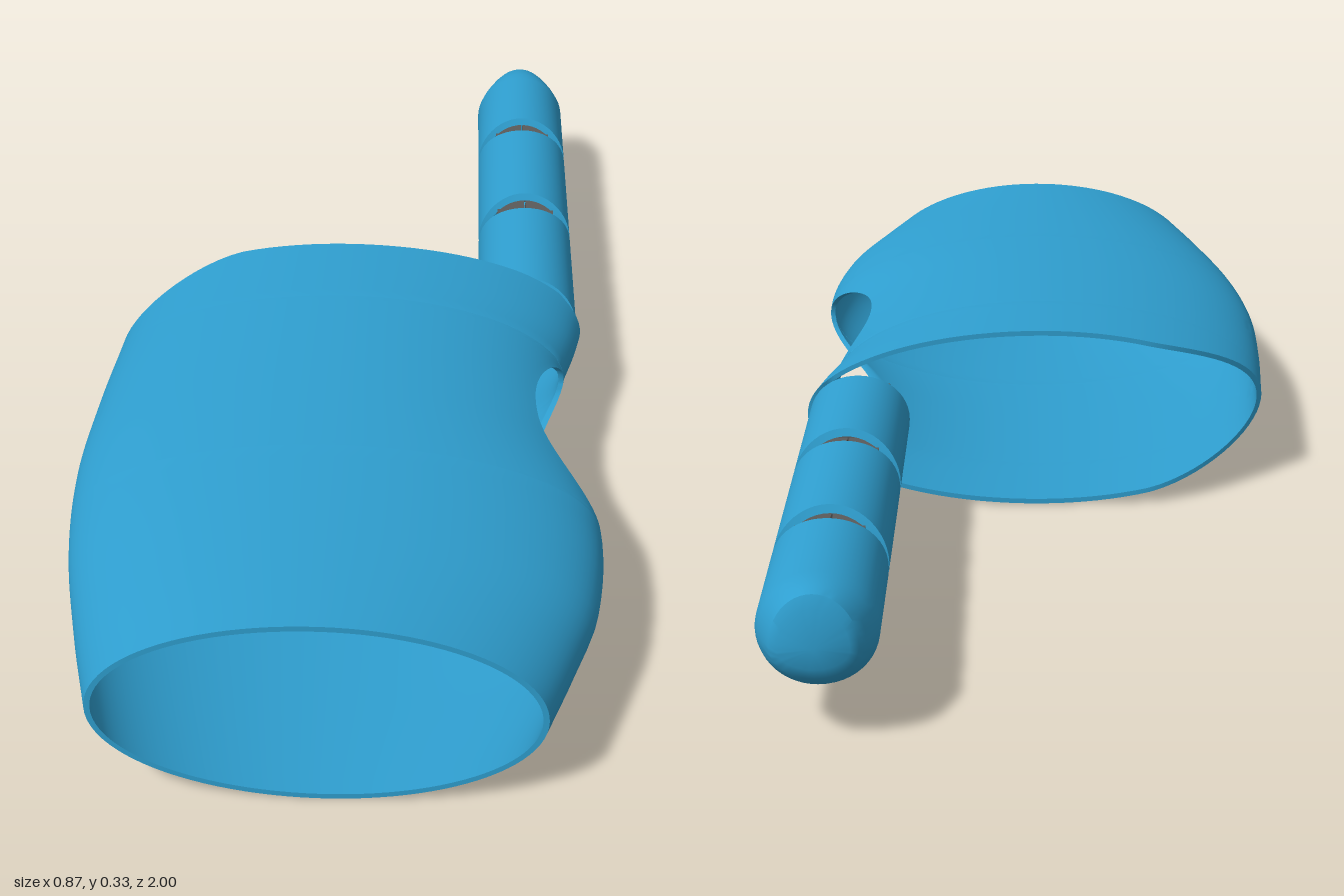
import * as THREE from 'three';
import { toCreasedNormals, mergeGeometries } from 'three/addons/utils/BufferGeometryUtils.js';

const CY = 0.1665, WALL = 0.009;
const BACK = -0.07, HOLE0 = 0.11, HOLE1 = 0.56, FRONT = 1;
const FINGER_X = 0.325, FINGER_R = 0.09;

// Surface from fn(u, v) -> [x, y, z]; faces point along du x dv unless flipped
function grid(nu, nv, fn, flip = false) {
  const pos = [], idx = [];
  for (let j = 0; j <= nv; j++)
    for (let i = 0; i <= nu; i++) pos.push(...fn(i / nu, j / nv));
  for (let j = 0; j < nv; j++)
    for (let i = 0; i < nu; i++) {
      const a = j * (nu + 1) + i, b = a + 1, d = a + nu + 1, c = d + 1;
      idx.push(...(flip ? [a, c, b, a, d, c] : [a, b, c, a, c, d]));
    }
  const g = new THREE.BufferGeometry();
  g.setAttribute('position', new THREE.Float32BufferAttribute(pos, 3));
  g.setIndex(idx);
  return g;
}

function mesh(name, geometry, material) {
  const m = new THREE.Mesh(geometry, material);
  m.name = name;
  return m;
}

// Smooth curve through [z, value] points
function smooth(pts) {
  const slope = i => {
    const a = pts[Math.max(i - 1, 0)], b = pts[Math.min(i + 1, pts.length - 1)];
    return (b[1] - a[1]) / (b[0] - a[0]);
  };
  return z => {
    let i = 0;
    while (i < pts.length - 2 && z > pts[i + 1][0]) i++;
    const [z0, a] = pts[i], [z1, b] = pts[i + 1], h = z1 - z0;
    const t = THREE.MathUtils.clamp((z - z0) / h, 0, 1), t2 = t * t, t3 = t2 * t;
    return a * (2 * t3 - 3 * t2 + 1) + b * (3 * t2 - 2 * t3)
      + h * slope(i) * (t3 - 2 * t2 + t) + h * slope(i + 1) * (t3 - t2);
  };
}

// Half widths of the palm on each side
const outerSide = smooth([[-0.07, 0.405], [0.06, 0.415], [0.25, 0.43], [0.45, 0.437], [0.65, 0.42], [0.85, 0.38], [1, 0.343]]);
const thumbSide = smooth([[-0.07, 0.426], [0, 0.412], [0.12, 0.385], [0.35, 0.392], [0.56, 0.43], [0.75, 0.418], [0.88, 0.378], [1, 0.335]]);

// Half height of the thumb opening
function holeHalf(z) {
  const t = Math.abs((2 * z - HOLE0 - HOLE1) / (HOLE1 - HOLE0));
  return t >= 1 ? 0 : 0.09 * Math.sqrt(1 - t ** 2.2);
}

// Back edge: straight over the knuckles, swept forward at the outer corner
function backEdge(x, y) {
  const sweep = Math.max(0, (-0.2 - x) / 0.215);
  const notch = x > 0.37 ? 0.015 * Math.max(0, 1 - ((y - CY) / 0.08) ** 2) : 0;
  return BACK + 0.13 * sweep ** 1.6 + notch + (x > 0.3 ? (x - 0.3) * 0.07 : 0);
}

// Nominal z of each row, from back to front, dense at the ends of the opening
const rows = [];
for (let i = 0; i < 8; i++) rows.push(BACK + (HOLE0 - BACK) * i / 8);
for (let i = 0; i < 36; i++) rows.push(HOLE0 + (HOLE1 - HOLE0) * (1 - Math.cos(Math.PI * i / 36)) / 2);
for (let i = 0; i <= 14; i++) rows.push(HOLE1 + (FRONT - HOLE1) * i / 14);

function palmPoint(u, zRow, inset) {
  const ry = CY - inset, start = Math.asin(holeHalf(zRow) / ry);
  const a = start + u * (2 * Math.PI - 2 * start), c = Math.cos(a);
  const y = CY + ry * Math.sin(a);
  const xAt = z => c * ((c > 0 ? thumbSide(z) : outerSide(z)) - inset);
  let z = zRow;
  if (z < HOLE0) {
    const s = (z - BACK) / (HOLE0 - BACK);
    z = THREE.MathUtils.lerp(backEdge(xAt(0), y), HOLE0, s);
  }
  return [xAt(z), y, z];
}

function palmGeometry() {
  const n = rows.length - 1, rowAt = v => rows[Math.round(v * n)];
  const hole = rows.filter(z => z >= HOLE0 && z <= HOLE1 + 1e-6), h = hole.length - 1;
  const holeRim = (edge, flip) =>
    grid(h, 1, (u, v) => palmPoint(edge, hole[Math.round(u * h)], v * WALL), flip);
  return toCreasedNormals(mergeGeometries([
    grid(96, n, (u, v) => palmPoint(u, rowAt(v), 0)),
    grid(96, n, (u, v) => palmPoint(u, rowAt(v), WALL), true),
    grid(96, 1, (u, v) => palmPoint(u, FRONT, v * WALL)),
    grid(96, 1, (u, v) => palmPoint(u, BACK, (1 - v) * WALL)),
    holeRim(0, false),
    holeRim(1, true),
  ]), 0.7);
}

// Finger shell from rings [z, rx, top, bottom, bow]; bow curves an end away over y
function fingerGeometry(rings) {
  const n = rings.length - 1;
  return toCreasedNormals(grid(48, n, (u, v) => {
    const [z, rx, top, bottom, bow = 0] = rings[Math.round(v * n)];
    const a = u * 2 * Math.PI, s = Math.sin(a), y = s * (s > 0 ? top : bottom);
    return [FINGER_X + rx * Math.cos(a), CY + y, z + bow * (y / FINGER_R) ** 2];
  }), 0.6);
}
const round = (z, r, bow) => [z, r, r, r, bow];

export function createModel() {
  const group = new THREE.Group();
  const blue = new THREE.MeshStandardMaterial({ color: 0x2f9fd0 });
  const grey = new THREE.MeshStandardMaterial({ color: 0x5a5a5a });

  group.add(mesh('palmShell', palmGeometry(), blue));

  // Two hollow finger segments
  const R = FINGER_R, IN = 0.077;
  [['lowerFingerSegment', -0.07, -0.376], ['middleFingerSegment', -0.395, -0.705]].forEach(([name, front, back]) => {
    group.add(mesh(name, fingerGeometry([
      round(back, R, 0.02), round(front, R, -0.02), round(front, IN, -0.02),
      round(back, IN, 0.02), round(back, R, 0.02),
    ]), blue));
  });

  // Fingertip, closed and rounded at the end, hollow at the joint
  group.add(mesh('fingertip', fingerGeometry([
    [-1, 0, 0, 0], [-1, 0.052, 0.062, 0.032], [-0.992, 0.064, 0.082, 0.05],
    [-0.975, 0.073, 0.087, 0.066], [-0.95, 0.084, 0.09, 0.08], [-0.93, R, R, R],
    round(-0.72, R, -0.02), round(-0.72, IN, -0.02), round(-0.9, IN, 0), round(-0.9, 0, 0),
  ]), blue));

  // Hinge links, a pair of plates in each gap
  [['knuckleJoint', -0.085, 0.08], ['middleJoint', -0.385, 0.13], ['tipJoint', -0.712, 0.13]].forEach(([name, z, length]) => {
    const joint = new THREE.Group();
    joint.name = name;
    for (const side of [-1, 1]) {
      const link = mesh('jointLink', new THREE.BoxGeometry(0.053, 0.118, length), grey);
      link.position.set(FINGER_X + side * 0.028, CY, z);
      joint.add(link);
    }
    group.add(joint);
  });

  return group;
}
